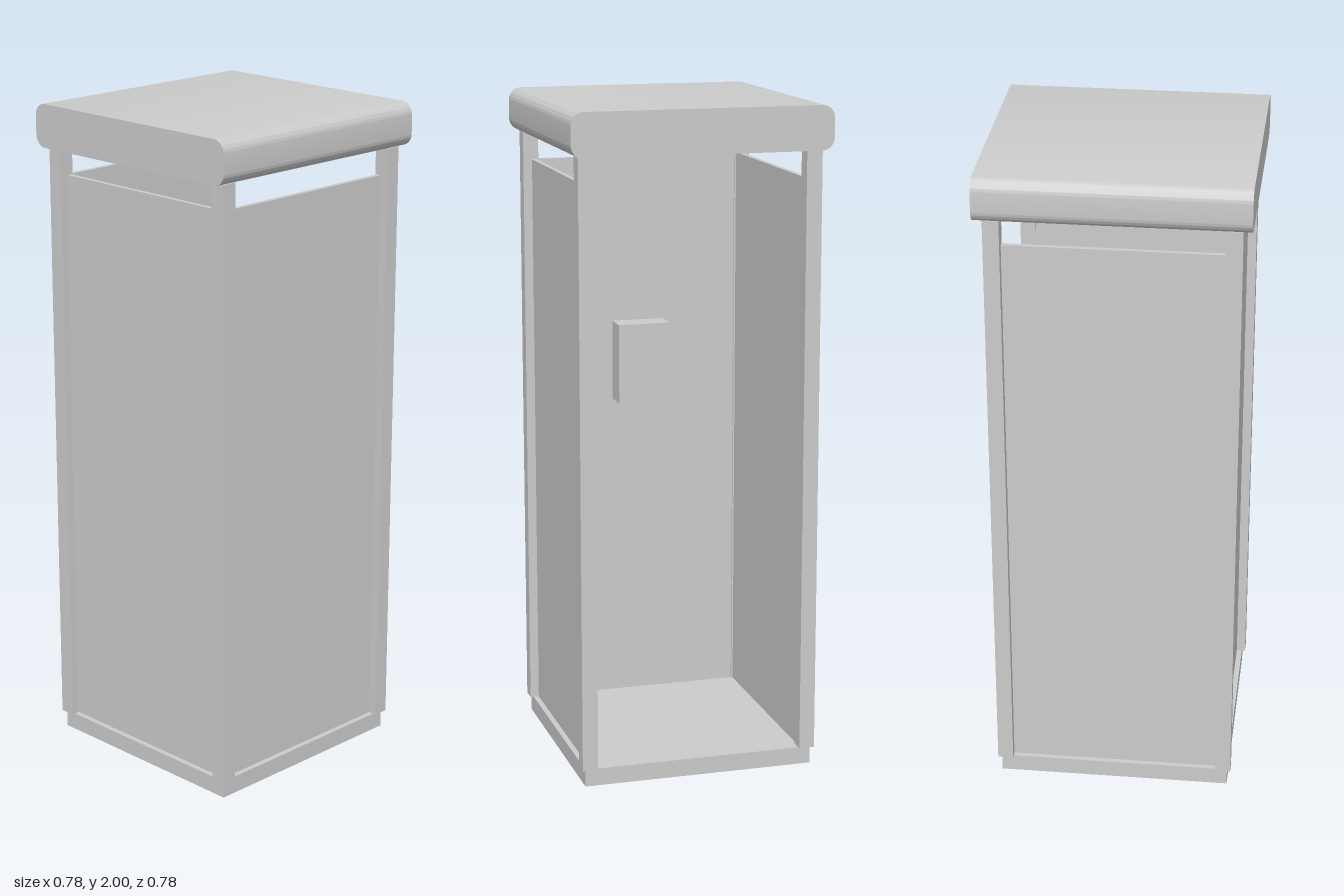
import * as THREE from 'three';
import { toCreasedNormals } from 'three/addons/utils/BufferGeometryUtils.js';

const BASE_TOP = 0.053, ROOF_BOTTOM = 1.87, TOP = 2;
const POST = 0.047, POST_POS = 0.339;
const PANEL_TOP = 1.787, PANEL_T = 0.015, PANEL_POS = 0.328, PANEL_W = 0.65;

export function createModel() {
  const group = new THREE.Group();
  const material = new THREE.MeshStandardMaterial({ color: 0xcccccc });

  const add = (name, geometry, x, y, z) => {
    const mesh = new THREE.Mesh(geometry, material);
    mesh.name = name;
    mesh.position.set(x, y, z);
    group.add(mesh);
    return mesh;
  };

  // Floor slab, slightly inside the posts
  add('base', new THREE.BoxGeometry(0.704, BASE_TOP, 0.704), 0, BASE_TOP / 2, 0);

  // Corner posts
  const postH = ROOF_BOTTOM - BASE_TOP;
  const postGeo = new THREE.BoxGeometry(POST, postH, POST);
  for (const [sx, xName] of [[1, 'Left'], [-1, 'Right']]) {
    for (const [sz, zName] of [[1, 'front'], [-1, 'back']]) {
      add(`${zName}${xName}Post`, postGeo, sx * POST_POS, BASE_TOP + postH / 2, sz * POST_POS);
    }
  }

  // Wall panels on three sides; the +x side stays open as the doorway
  const panelH = PANEL_TOP - BASE_TOP, panelY = BASE_TOP + panelH / 2;
  const panelGeo = new THREE.BoxGeometry(PANEL_W, panelH, PANEL_T);
  add('frontPanel', panelGeo, 0, panelY, PANEL_POS);
  add('backPanel', panelGeo, 0, panelY, -PANEL_POS);
  add('sidePanel', panelGeo, -PANEL_POS, panelY, 0).rotation.y = Math.PI / 2;

  // Box mounted on the inside of the side panel
  const boxDepth = 0.08;
  add('wallBox', new THREE.BoxGeometry(boxDepth, 0.25, 0.165),
    -PANEL_POS + PANEL_T / 2 + boxDepth / 2, 1.145, 0);

  // Roof: rounded profile extruded from side to side
  const w = 0.389, h = (TOP - ROOF_BOTTOM) / 2, r = 0.038;
  const profile = new THREE.Shape();
  profile.moveTo(-w + r, -h);
  profile.absarc(w - r, -h + r, r, -Math.PI / 2, 0);
  profile.absarc(w - r, h - r, r, 0, Math.PI / 2);
  profile.absarc(-w + r, h - r, r, Math.PI / 2, Math.PI);
  profile.absarc(-w + r, -h + r, r, Math.PI, Math.PI * 1.5);
  const roofGeo = new THREE.ExtrudeGeometry(profile, { depth: 2 * w, bevelEnabled: false, curveSegments: 10 });
  roofGeo.translate(0, 0, -w).rotateY(Math.PI / 2);
  add('roof', toCreasedNormals(roofGeo, Math.PI / 6), 0, ROOF_BOTTOM + h, 0);

  return group;
}
